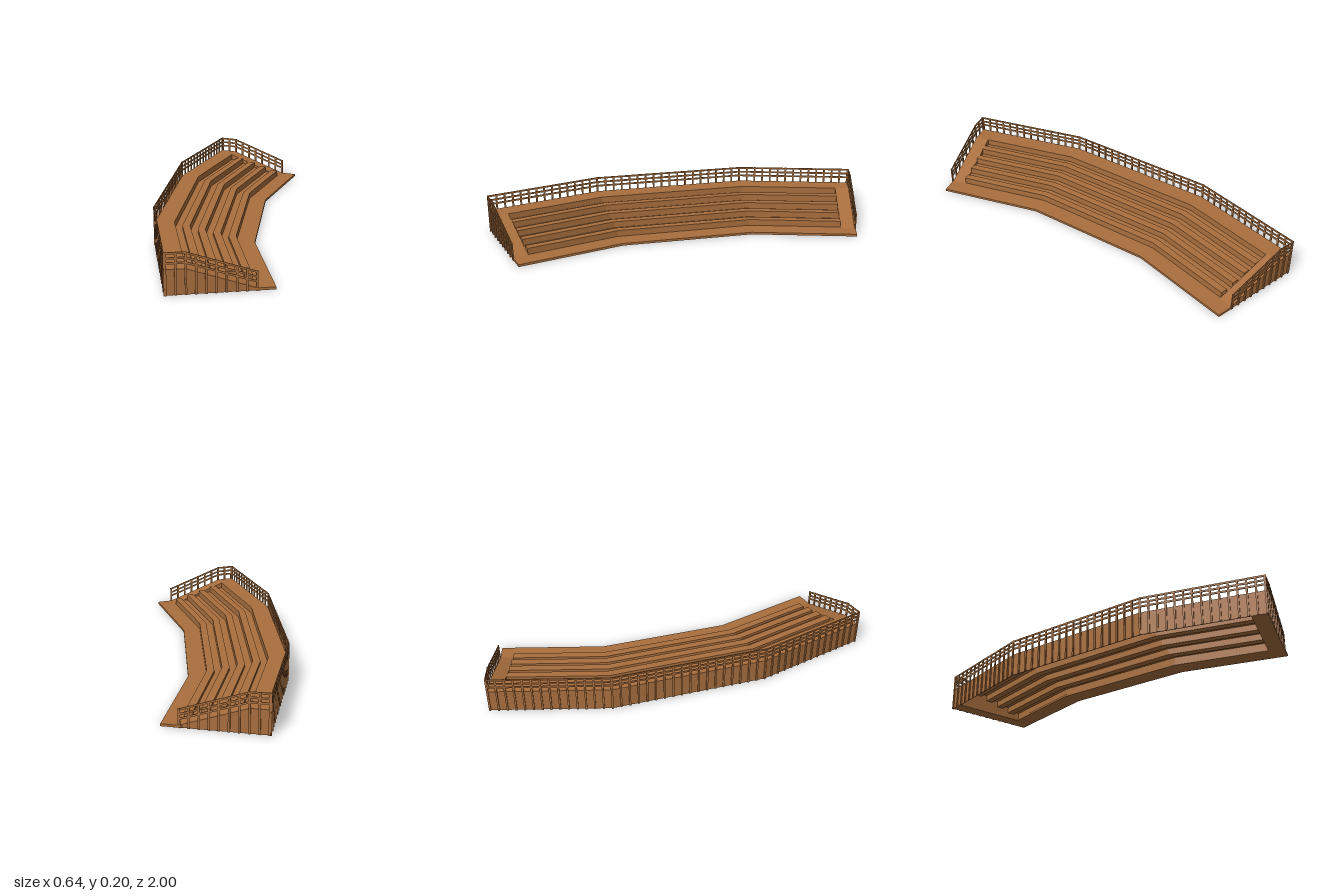
import * as THREE from 'three';

const wood = new THREE.MeshStandardMaterial({ color: 0xa96f3e, side: THREE.DoubleSide });
wood.name = 'brown wood';

const BACK = -0.311, BEND = 0.405, ANGLE = Math.PI / 12, WING = 0.61;
const DEPTH = 0.487, TOP = 0.12, DECK = 0.012, INSET = 0.075;
const SLOPE_START = 0.09, SLOPE_END = 0.403, DROP = 0.107;
const SIN = Math.sin(ANGLE), COS = Math.cos(ANGLE);
const CORNER = [BACK + WING * SIN, BEND + WING * COS];

function mesh(name, geometry, parent) {
  const m = new THREE.Mesh(geometry, wood);
  m.name = name;
  parent.add(m);
  return m;
}

function box(name, w, h, d, x, y, z, parent) {
  mesh(name, new THREE.BoxGeometry(w, h, d), parent).position.set(x, y, z);
}

// Plan outline of the bent stand at distance d from the back wall
function stations(d, inset) {
  const endX = CORNER[0] + d * COS - inset * SIN;
  const endZ = CORNER[1] - d * SIN - inset * COS;
  const bendZ = BEND - d * Math.tan(ANGLE / 2);
  return [[endX, endZ], [BACK + d, bendZ], [BACK + d, -bendZ], [endX, -endZ]];
}

// Sweeps a (distance, height) profile along the bent plan with flat faces
function sweep(profile, inset) {
  const pos = [];
  for (let i = 0; i < profile.length - 1; i++) {
    const [p, q] = [profile[i], profile[i + 1]];
    const a = stations(p[0], inset), b = stations(q[0], inset);
    for (let s = 0; s < 3; s++) {
      const A = [a[s][0], p[1], a[s][1]], B = [b[s][0], q[1], b[s][1]];
      const C = [b[s + 1][0], q[1], b[s + 1][1]], D = [a[s + 1][0], p[1], a[s + 1][1]];
      pos.push(...A, ...B, ...C, ...A, ...C, ...D);
    }
  }
  const g = new THREE.BufferGeometry();
  g.setAttribute('position', new THREE.Float32BufferAttribute(pos, 3));
  g.computeVertexNormals();
  return g;
}

function plate(points, depth) {
  const shape = new THREE.Shape(points.map(([x, y]) => new THREE.Vector2(x, y)));
  return new THREE.ExtrudeGeometry(shape, { depth, bevelEnabled: false });
}

// Height of the end wall / railing line below its flat level
const fall = d => DROP * Math.max(0, d - SLOPE_START) / (SLOPE_END - SLOPE_START);

const RAILS = [0.2, 0.177, 0.155];

// Posts and straight rails along z, from z0 to z1
function backFence(parent, x, z0, z1, count) {
  for (let i = 0; i <= count; i++) {
    box('backPost', 0.006, 0.2, 0.009, x, 0.1, z0 + (z1 - z0) * i / count, parent);
  }
  for (const top of RAILS) {
    box('backRail', 0.004, 0.009, z1 - z0, x, top - 0.0045, (z0 + z1) / 2, parent);
  }
}

// End block, end railing and back fence of one angled wing
function wingEnd(profile) {
  const g = new THREE.Group();
  g.name = 'wingEnd';
  g.position.set(CORNER[0], 0, CORNER[1]);
  g.rotation.y = ANGLE;

  mesh('endRamp', plate([[0, 0], [SLOPE_END, 0], [SLOPE_END, DECK], [SLOPE_START, TOP], [0, TOP]], INSET), g)
    .position.z = -INSET;
  const cap = plate([[0, 0], ...profile, [profile.at(-1)[0], 0]], 0.002);
  mesh('stepEnd', cap, g).position.z = -INSET - 0.002;

  for (let i = 0; i < 10; i++) {
    const d = 0.003 + i * 0.0443, h = 0.2 - fall(d);
    box('endPost', 0.01, h, 0.006, d, h / 2, 0.003, g);
  }
  for (const t of RAILS) {
    const low = t - DROP, w = 0.0095;
    mesh('endRail', plate([[0, t - w], [SLOPE_START, t - w], [SLOPE_END, low - w],
      [SLOPE_END, low], [SLOPE_START, t], [0, t]], 0.004), g).position.z = 0.001;
  }
  backFence(g, -0.003, -WING, 0, 14);
  return g;
}

export function createModel() {
  const root = new THREE.Group();
  root.name = 'grandstand';

  // Top walkway, then alternating foot boards and benches down to the deck
  const profile = [[0, TOP], [0.095, TOP]];
  for (let i = 1; i <= 4; i++) {
    const front = 0.095 + 0.075 * i, seat = TOP - 0.0187 * i, foot = seat - 0.0145;
    profile.push([front - 0.075, foot], [front - 0.0375, foot], [front - 0.0375, seat], [front, seat]);
  }
  profile.push([0.395, DECK]);

  mesh('steppedSeating', sweep(profile, INSET), root);
  mesh('frontDeck', sweep([[0.39, 0], [0.39, DECK], [DEPTH, DECK], [DEPTH, 0], [0.39, 0]], 0), root);
  mesh('backWall', sweep([[0, 0], [0, TOP], [0.004, TOP], [0.004, 0], [0, 0]], 0), root);

  // Edge faces of the front deck
  for (const side of [1, -1]) {
    const edge = new THREE.Group();
    edge.name = 'wing';
    edge.scale.z = side;
    edge.add(wingEnd(profile));
    const lip = mesh('deckEnd', plate([[0.39, 0], [DEPTH, 0], [DEPTH, DECK], [0.39, DECK]], 0.002), edge);
    lip.position.set(CORNER[0], 0, CORNER[1]);
    lip.rotation.y = ANGLE;
    root.add(edge);
  }

  // Fence along the straight middle section
  backFence(root, BACK - 0.003, -BEND, BEND, 18);
  return root;
}
